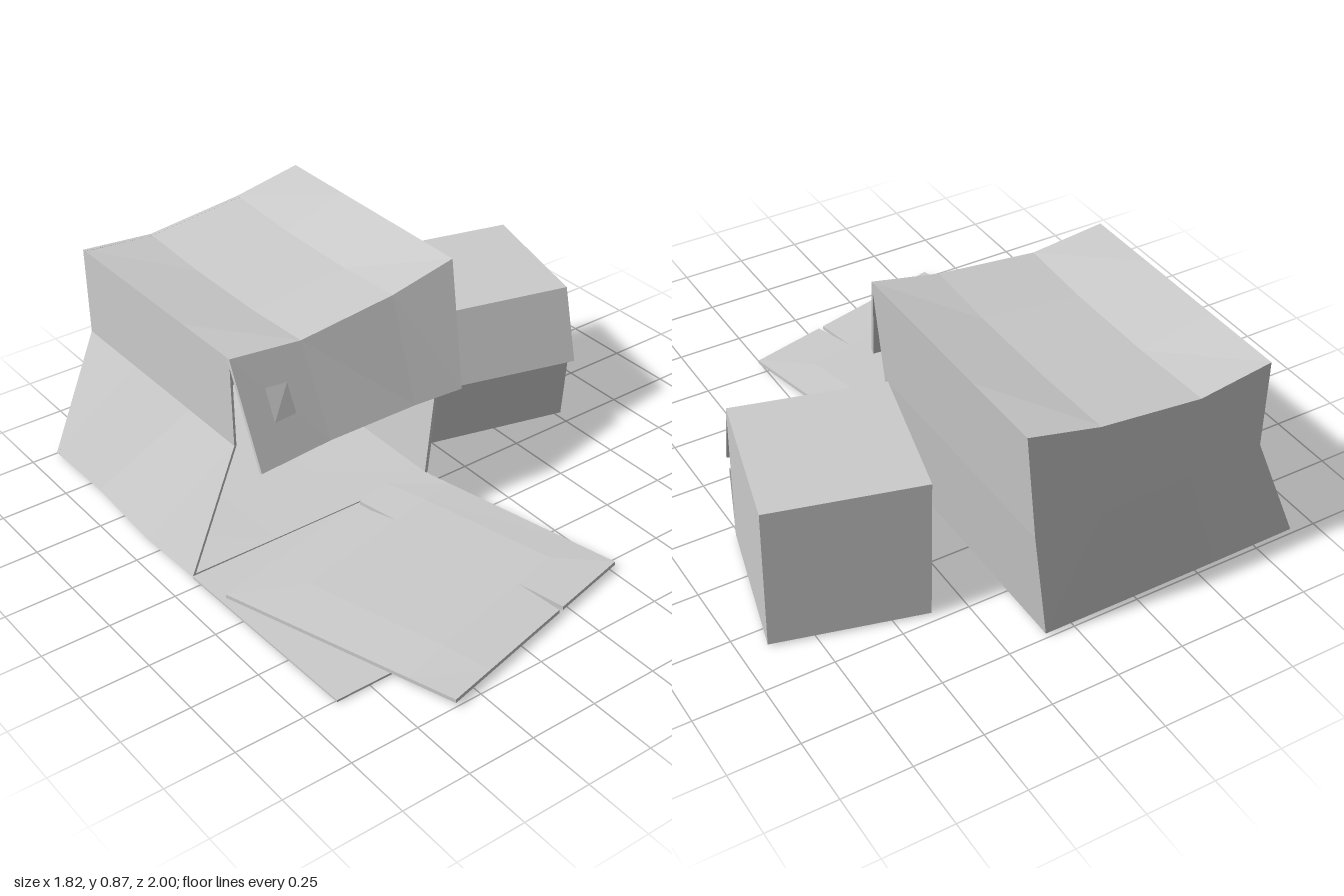
import * as THREE from 'three';

const material = new THREE.MeshStandardMaterial({ color: 0xcccccc, flatShading: true, side: THREE.DoubleSide });

// Cardboard panel: a grid of points, thickened by an offset; hole(i, j) leaves a cell out
function panel(name, grid, offset, hole = () => false) {
  const back = grid.map(row => row.map(p => p.map((v, k) => v + offset[k])));
  const rows = grid.length - 1, cols = grid[0].length - 1, pos = [];
  const quad = (a, b, c, d) => pos.push(...a, ...b, ...c, ...a, ...c, ...d);
  const empty = (i, j) => i < 0 || j < 0 || i >= rows || j >= cols || hole(i, j);
  for (let i = 0; i < rows; i++) for (let j = 0; j < cols; j++) {
    if (empty(i, j)) continue;
    const ring = [[i, j], [i, j + 1], [i + 1, j + 1], [i + 1, j]];
    const neighbours = [[i - 1, j], [i, j + 1], [i + 1, j], [i, j - 1]];
    quad(...ring.map(([r, c]) => grid[r][c]));
    quad(...ring.map(([r, c]) => back[r][c]).reverse());
    neighbours.forEach((n, k) => {
      if (!empty(...n)) return;
      const [r, c] = ring[k], [s, d] = ring[(k + 1) % 4];
      quad(grid[r][c], back[r][c], back[s][d], grid[s][d]);
    });
  }
  return mesh(name, pos);
}

function mesh(name, positions) {
  const geometry = new THREE.BufferGeometry();
  geometry.setAttribute('position', new THREE.Float32BufferAttribute(positions, 3));
  geometry.computeVertexNormals();
  const m = new THREE.Mesh(geometry, material);
  m.name = name;
  return m;
}

// Open-fronted shell: profile swept along z, turned over the front rim and back along the inside
function shell(name, profile, zs, centre, inset, bend = () => [0, 0]) {
  const section = (z, i, s) => profile.map(([x, y], j) => {
    const [dx, dy] = bend(i, j);
    return [centre[0] + (x + dx - centre[0]) * s, centre[1] + (y + dy - centre[1]) * s, z];
  });
  const rows = zs.map((z, i) => section(z, i, 1));
  rows.push(...zs.map((z, i) => section(z, i, inset)).reverse());
  const pos = [], n = profile.length;
  for (let i = 0; i < rows.length - 1; i++) for (let j = 0; j < n; j++) {
    const a = rows[i][j], b = rows[i][(j + 1) % n], c = rows[i + 1][(j + 1) % n], d = rows[i + 1][j];
    pos.push(...a, ...b, ...c, ...a, ...c, ...d);
  }
  return mesh(name, pos);
}

const mix = (a, b, t) => a + (b - a) * t;

function bigCarton() {
  const group = new THREE.Group();
  group.name = 'largeCarton';
  // Leaning, sagging cross-section, clockwise from the lower left
  const profile = [[-0.905, 0.01], [-0.71, 0.465], [-0.71, 0.8], [-0.43, 0.77], [-0.05, 0.81],
    [0.21, 0.865], [0.165, 0.45], [0.105, 0.01], [-0.23, 0.008], [-0.57, 0.008]];
  const bend = (i, j) => {
    const inner = i === 1 || i === 2;
    if (j === 0) return [[0, 0.006, -0.01, 0][i], 0];
    if (inner && (j === 3 || j === 4)) return [0, -0.015];
    if (inner && j > 7) return [0, -0.008];
    return [0, 0];
  };
  group.add(shell('largeCartonWalls', profile, [-0.99, -0.68, -0.32, -0.04], [-0.37, 0.42], 0.975, bend));

  // Back wall, bulging slightly in the middle
  const backRows = [
    [[-0.71, 0.8], [-0.43, 0.77], [-0.05, 0.81], [0.21, 0.865]],
    [[-0.71, 0.465], [-0.42, 0.46], [-0.08, 0.455], [0.165, 0.45]],
    [[-0.905, 0.01], [-0.57, 0.008], [-0.23, 0.008], [0.105, 0.01]]];
  group.add(panel('largeCartonBack', backRows.map((row, i) => row.map(([x, y], j) =>
    [x, y, (i < 2 && (j === 1 || j === 2)) ? -1 : -0.99])), [0, 0, 0.015]));

  // Hanging front awning flap
  group.add(panel('awningFlap', [
    [[-0.71, 0.8, -0.04], [-0.43, 0.77, -0.04], [-0.05, 0.81, -0.04], [0.21, 0.865, -0.04]],
    [[-0.74, 0.48, 0.17], [-0.43, 0.455, 0.115], [-0.07, 0.45, 0.11], [0.125, 0.45, 0.125]],
  ], [0, -0.008, -0.012]));

  // Bottom flap folded out on the ground
  group.add(panel('groundFlap', [
    [[-0.905, 0.014, -0.04], [0.105, 0.014, -0.04]],
    [[-0.88, 0.012, 0.76], [0.055, 0.012, 0.76]],
  ], [0, -0.008, 0]));
  return group;
}

// Loose flattened sheet with a tapered slit in its front and rear edges
function groundSheet() {
  const vs = [0, 0.2, 0.8, 1], slit = [0.69, 0.68, 0.65, 0.64], gap = [0.012, 0, 0, 0.012];
  const grid = vs.map((v, i) => [0, 0.2, slit[i] - gap[i], slit[i] + gap[i], 0.85, 1].map((u, j) => {
    const x = mix(mix(-0.88, 0.07, u), mix(-0.6, 0.265, u), v);
    const z = mix(mix(0.13, -0.09, u), mix(1, 0.79, u), v);
    const edge = i === 0 || i === 3 || j === 0 || j === 5;
    return [x, edge ? 0.031 : 0.042, z];
  }));
  return panel('groundSheet', grid, [0, -0.014, 0], (i, j) => j === 2);
}

function smallCarton() {
  const group = new THREE.Group();
  group.name = 'smallCarton';
  const h = 0.274, low = 0.008, top = 0.56;
  const profile = [[-h, low], [-h, top], [h, top], [h, low]];
  group.add(shell('smallCartonWalls', profile, [-h, h], [0, 0.284], 0.97));
  group.add(panel('smallCartonBack', [
    [[-h, top, -h], [h, top, -h]],
    [[-h, low, -h], [h, low, -h]]], [0, 0, 0.01]));
  // Two front flaps, ajar along the middle
  group.add(panel('smallCartonUpperFlap', [
    [[-h, top, h], [h, top, h]],
    [[-h, 0.295, h + 0.088], [h, 0.29, h + 0.088]]], [0, -0.003, -0.008]));
  group.add(panel('smallCartonLowerFlap', [
    [[-h, 0.28, h + 0.038], [h, 0.275, h + 0.038]],
    [[-h, low, h], [h, low, h]]], [0, 0, -0.008]));
  group.position.set(0.57, 0, -0.385);
  group.rotation.y = -0.258;
  return group;
}

export function createModel() {
  const model = new THREE.Group();
  model.name = 'cardboardShelter';
  model.add(bigCarton(), groundSheet(), smallCarton());
  return model;
}
